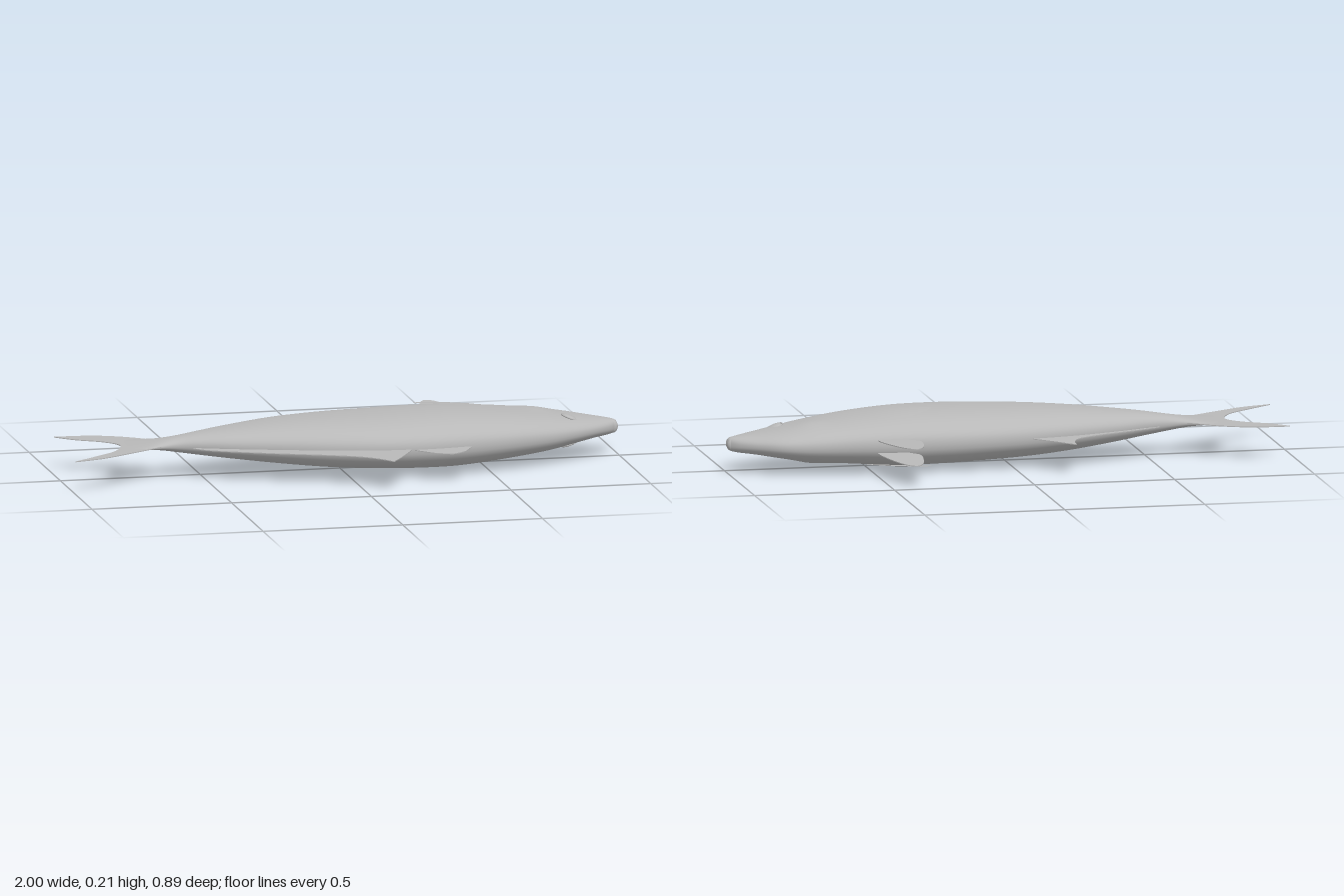
import * as THREE from 'three';

// Body stations, tail to nose: x, belly z, back z, half thickness, centre y
const STATIONS = [
  [-0.77, -0.1, 0.1, 0.002, 0.12], [-0.7, -0.088, 0.085, 0.008, 0.12], [-0.64, -0.06, 0.06, 0.018, 0.119],
  [-0.58, -0.053, 0.053, 0.028, 0.118], [-0.5, -0.075, 0.078, 0.04, 0.118], [-0.4, -0.115, 0.115, 0.053, 0.117],
  [-0.235, -0.168, 0.167, 0.072, 0.115], [-0.07, -0.2, 0.215, 0.085, 0.112], [0.1, -0.22, 0.25, 0.092, 0.11],
  [0.25, -0.228, 0.255, 0.096, 0.109], [0.4, -0.225, 0.24, 0.095, 0.108], [0.57, -0.214, 0.205, 0.082, 0.108],
  [0.72, -0.2, 0.152, 0.066, 0.106], [0.82, -0.178, 0.105, 0.05, 0.106], [0.9, -0.13, 0.058, 0.037, 0.106],
  [0.96, -0.085, 0.015, 0.029, 0.105], [0.99, -0.055, -0.012, 0.022, 0.105], [0.998, -0.042, -0.025, 0.01, 0.105],
];
const POWER = 2.3; // roundness of the oval cross-section
const curve = (pick) => new THREE.CatmullRomCurve3(STATIONS.map(pick), false, 'catmullrom', 0.5);
const outline = curve((s) => new THREE.Vector3(s[0], s[1], s[2]));
const girth = curve((s) => new THREE.Vector3(s[0], s[3], s[4]));

function section(t) {
  const o = outline.getPoint(t), g = girth.getPoint(t);
  return { x: o.x, mid: (o.y + o.z) / 2, hw: (o.z - o.y) / 2, half: g.y, yc: g.z };
}

// Slight swelling of the gill cover
const cheek = (x, z) => 0.006 * Math.exp(-(((x - 0.71) / 0.05) ** 2) - ((z + 0.07) / 0.06) ** 2);

// Height of the flank above the centre plane at (x, z)
function flank(x, z) {
  let a = 0, b = 1;
  for (let i = 0; i < 30; i++) {
    const m = (a + b) / 2;
    if (section(m).x < x) a = m; else b = m;
  }
  const s = section(a);
  const u = Math.min(1, Math.abs((z - s.mid) / s.hw));
  return { h: s.half * (1 - u ** POWER) ** (1 / POWER) + cheek(x, z), yc: s.yc };
}

function bodyGeometry() {
  const rings = 100, sides = 48, pos = [], index = [];
  const bend = (v) => Math.sign(v) * Math.abs(v) ** (2 / POWER);
  for (let i = 0; i <= rings; i++) {
    const s = section(i / rings);
    for (let j = 0; j < sides; j++) {
      const a = (j / sides) * Math.PI * 2;
      const z = s.mid + s.hw * bend(Math.cos(a)), up = bend(Math.sin(a));
      pos.push(s.x, s.yc + up * (s.half + cheek(s.x, z)), z);
    }
  }
  for (let i = 0; i < rings; i++) {
    for (let j = 0; j < sides; j++) {
      const k = (j + 1) % sides, a = i * sides + j, b = i * sides + k;
      index.push(a, a + sides, b, b, a + sides, b + sides);
    }
  }
  // Rounded nose cap
  const tip = pos.length / 3, last = rings * sides;
  pos.push(1, 0.105, -0.034);
  for (let j = 0; j < sides; j++) index.push(last + j, tip, last + ((j + 1) % sides));
  const geo = new THREE.BufferGeometry();
  geo.setAttribute('position', new THREE.Float32BufferAttribute(pos, 3));
  geo.setIndex(index);
  geo.computeVertexNormals();
  return geo;
}

// Thin fin from smooth runs of [x, z] points; corners stay sharp between runs
function finGeometry(runs) {
  const pts = runs.flatMap((run) => {
    const v = run.map(([x, z]) => new THREE.Vector2(x, z));
    return v.length > 2 ? new THREE.SplineCurve(v).getPoints(v.length * 5) : v;
  }).filter((p, i, all) => i === 0 || p.distanceTo(all[i - 1]) > 1e-5);
  const geo = new THREE.ExtrudeGeometry(new THREE.Shape(pts), { depth: 0.003, bevelEnabled: false });
  return geo.translate(0, 0, -0.0015).rotateX(Math.PI / 2);
}

// Leaf-shaped side fin following the flank and lifting toward its rear tip
function pectoralGeometry(side) {
  const geo = new THREE.PlaneGeometry(1, 1, 24, 10), p = geo.attributes.position;
  for (let i = 0; i < p.count; i++) {
    const s = p.getX(i) + 0.5, v = p.getY(i) + 0.5;
    const x = 0.525 - 0.255 * s;
    const low = -0.055 + 0.022 * Math.sin(Math.PI * s);
    const high = -0.055 - 0.08 * Math.sin(Math.PI * s) ** 0.8;
    const z = THREE.MathUtils.lerp(low, high, v), f = flank(x, z);
    p.setXYZ(i, x, f.yc + side * (f.h + 0.001 + 0.009 * s), z);
  }
  geo.computeVertexNormals();
  return geo;
}

export function createModel() {
  const group = new THREE.Group();
  const grey = new THREE.MeshStandardMaterial({ color: 0xb8b8b8, side: THREE.DoubleSide });
  grey.name = 'grey';
  const add = (name, geo, x = 0, y = 0, z = 0) => {
    const mesh = new THREE.Mesh(geo, grey);
    mesh.name = name;
    mesh.position.set(x, y, z);
    group.add(mesh);
    return mesh;
  };

  add('body', bodyGeometry());

  // Forked tail
  add('tailFin', finGeometry([
    [[-0.6, -0.04], [-0.65, -0.066], [-0.72, -0.12], [-0.78, -0.155], [-0.86, -0.183], [-0.98, -0.19]],
    [[-0.98, -0.19], [-0.92, -0.13], [-0.83, -0.07], [-0.787, 0], [-0.825, 0.095], [-0.91, 0.17], [-1, 0.24]],
    [[-1, 0.24], [-0.89, 0.205], [-0.77, 0.135], [-0.66, 0.068], [-0.6, 0.04]],
  ]), 0, 0.121, 0);

  // Fins along the back and the belly
  add('frontDorsalFin', finGeometry([
    [[0.43, 0.2], [0.42, 0.235], [0.38, 0.31], [0.33, 0.345]],
    [[0.33, 0.345], [0.27, 0.32], [0.21, 0.255]], [[0.22, 0.2]],
  ]), 0, 0.11, 0);
  add('rearDorsalFin', finGeometry([
    [[0.2, 0.21], [0.2, 0.255], [0.145, 0.36], [0.095, 0.44]],
    [[0.095, 0.44], [0.06, 0.39], [0, 0.335], [-0.1, 0.285], [-0.3, 0.205], [-0.48, 0.12], [-0.54, 0.07]],
    [[-0.54, 0.04], [-0.2, 0.14]],
  ]), 0, 0.112, 0);
  add('analFin', finGeometry([
    [[-0.05, -0.17], [-0.06, -0.2], [-0.12, -0.265], [-0.185, -0.342]],
    [[-0.185, -0.342], [-0.192, -0.28], [-0.225, -0.22], [-0.32, -0.165], [-0.44, -0.115], [-0.54, -0.065]],
    [[-0.53, -0.03], [-0.2, -0.14]],
  ]), 0, 0.112, 0);

  // Paired fins and eyes, mirrored on both flanks
  for (const side of [1, -1]) {
    const label = side > 0 ? 'left' : 'right';
    const pelvic = finGeometry([
      [[0.49, -0.18], [0.497, -0.23], [0.475, -0.33], [0.44, -0.42], [0.405, -0.447], [0.378, -0.41],
        [0.36, -0.33], [0.357, -0.265], [0.38, -0.235], [0.42, -0.19]],
    ]);
    const p = pelvic.attributes.position;
    for (let i = 0; i < p.count; i++) p.setY(i, p.getY(i) + side * (0.023 + (-0.22 - p.getZ(i)) * 0.03));
    pelvic.computeVertexNormals();
    add(label + 'PelvicFin', pelvic, 0, 0.107, 0);

    add(label + 'PectoralFin', pectoralGeometry(side));

    const f = flank(0.82, 0.015), y = f.yc + side * (f.h - 0.003);
    const eye = add(label + 'Eye', new THREE.SphereGeometry(0.028, 28, 16), 0.82, y, 0.015);
    eye.scale.y = 0.3;
    const rim = add(label + 'EyeRim', new THREE.TorusGeometry(0.031, 0.003, 8, 36).rotateX(Math.PI / 2), 0.82, y, 0.015);
    for (const m of [eye, rim]) m.rotation.z = -side * 0.38;
  }

  // Lips
  for (const [name, z] of [['upperLip', -0.018], ['lowerLip', -0.045]]) {
    const lip = add(name, new THREE.SphereGeometry(1, 24, 16), 0.979, 0.105, z);
    lip.scale.set(0.02, 0.023, 0.013);
  }
  return group;
}
